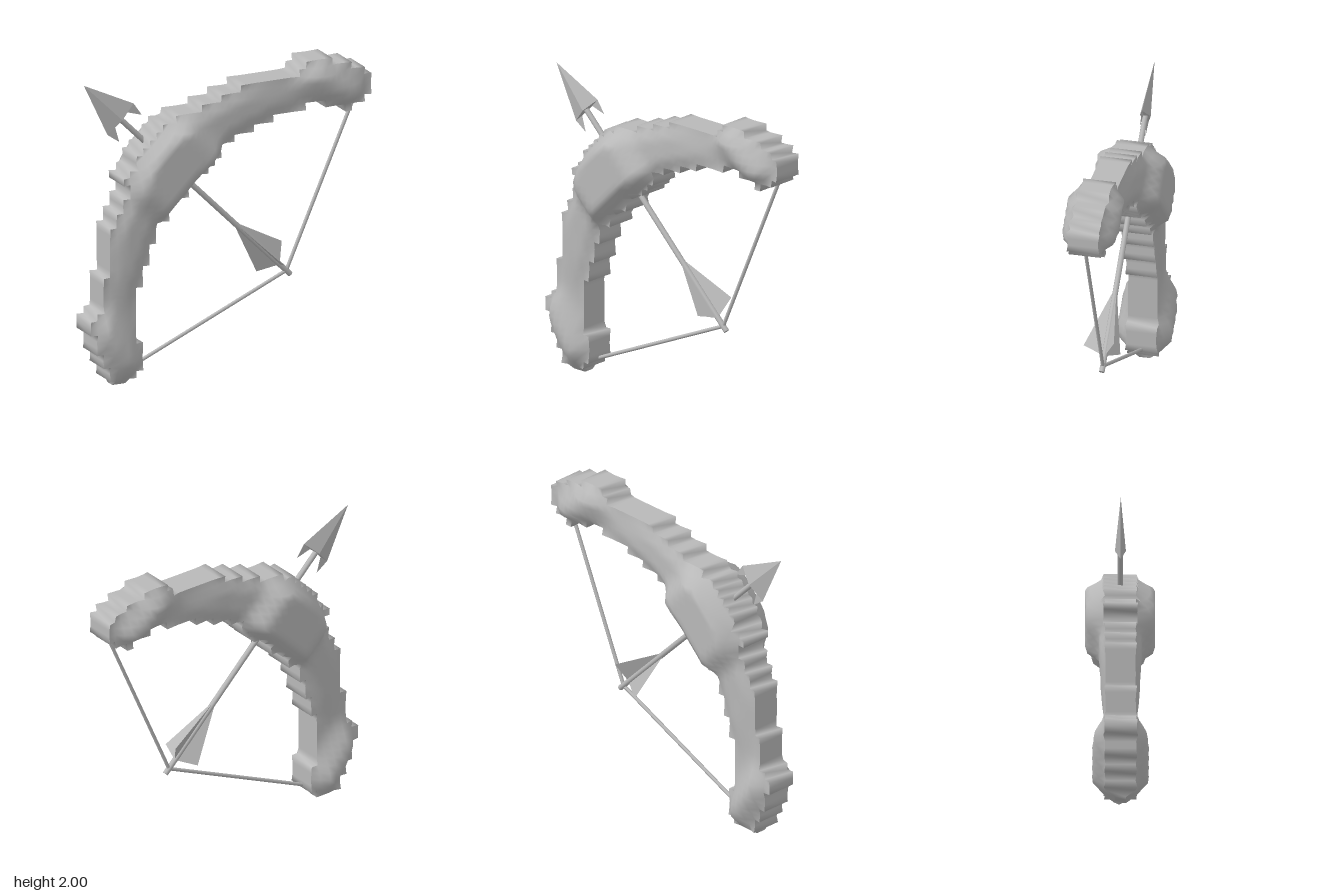
import * as THREE from 'three';
import { mergeVertices } from 'three/addons/utils/BufferGeometryUtils.js';

const CELL = 0.0459, X0 = -0.985, N = 43;
const { smoothstep, lerp } = THREE.MathUtils;
// Stepped outline of the bow from the bottom up: [row count, first column, end column]
const RUNS = [
  [1, 4, 6], [1, 3, 7], [1, 3, 8], [2, 2, 8], [1, 1, 8], [2, 1, 7], [2, 0, 7], [1, 1, 7],
  [3, 2, 7], [2, 2, 8], [1, 3, 8], [3, 3, 9], [3, 3, 10], [2, 4, 12], [1, 5, 13], [1, 5, 15],
  [1, 6, 15], [1, 6, 16], [1, 5, 18], [1, 6, 19], [2, 7, 20], [1, 8, 22], [1, 9, 25],
  [1, 10, 28], [1, 11, 33], [1, 13, 43], [1, 17, 43], [1, 20, 43], [1, 23, 42], [1, 32, 40], [1, 33, 37],
];

function makeMask() {
  const rows = [];
  for (const [count, a, b] of RUNS) {
    for (let k = 0; k < count; k++) rows.push(Array.from({ length: N }, (_, i) => i >= a && i < b));
  }
  for (let i = 36; i < 42; i++) rows[36][i] = true; // underside of the upper tip
  rows[35][39] = true;
  return (i, j) => Boolean(rows[j] && rows[j][i]);
}

// Half depth along the bow: thick grip, slim limbs, swollen tips
const PROFILE = [[0, 0.22], [7, 0.22], [10.5, 0.135], [18, 0.125], [27, 0.104], [33.3, 0.18], [39, 0.105]];
function halfDepth(u) {
  for (let k = 1; k < PROFILE.length; k++) {
    const [u0, d0] = PROFILE[k - 1], [u1, d1] = PROFILE[k];
    if (u <= u1) return lerp(d0, d1, smoothstep(u, u0, u1));
  }
  return 0.105;
}

function geometryFrom(positions, index) {
  const g = new THREE.BufferGeometry();
  g.setAttribute('position', new THREE.Float32BufferAttribute(positions, 3));
  if (index) g.setIndex(index);
  g.computeVertexNormals();
  return g;
}

// Domed front and back skins over the stepped outline, and the wall between them
function bowGeometries() {
  const filled = makeMask();
  // Share of filled cells around a grid corner, weighted towards the middle
  const coverage = (i, j, reach, spread) => {
    let sum = 0, total = 0;
    for (let a = -reach; a < reach; a++) {
      for (let b = -reach; b < reach; b++) {
        const w = Math.exp(-((a + 0.5) ** 2 + (b + 0.5) ** 2) / spread);
        total += w;
        if (filled(i + a, j + b)) sum += w;
      }
    }
    return sum / total;
  };
  const depth = (i, j) => {
    if (j === 0) return 0.035;
    const rim = 0.125 - 0.06 * coverage(i, j, 2, 8);
    const u = Math.abs(i + j - 43);
    return lerp(rim, halfDepth(u), smoothstep(coverage(i, j, 3, 5), 0.46, 0.9));
  };
  const point = (i, j, side) => [X0 + i * CELL, j * CELL, side * depth(i, j)];
  const skin = (side) => {
    const pos = [], index = [], ids = new Map();
    const id = (i, j) => {
      const key = i * 100 + j;
      if (!ids.has(key)) {
        ids.set(key, pos.length / 3);
        pos.push(...point(i, j, side));
      }
      return ids.get(key);
    };
    for (let j = 0; j < N; j++) {
      for (let i = 0; i < N; i++) {
        if (!filled(i, j)) continue;
        const a = id(i, j), b = id(i + 1, j), c = id(i + 1, j + 1), d = id(i, j + 1);
        index.push(...(side > 0 ? [a, b, c, a, c, d] : [a, c, b, a, d, c]));
      }
    }
    return geometryFrom(pos, index);
  };
  const wall = [];
  for (let j = 0; j < N; j++) {
    for (let i = 0; i < N; i++) {
      if (!filled(i, j)) continue;
      const c = [[i, j], [i + 1, j], [i + 1, j + 1], [i, j + 1]];
      [[0, -1], [1, 0], [0, 1], [-1, 0]].forEach(([dx, dy], k) => {
        if (filled(i + dx, j + dy)) return;
        const A = c[k], B = c[(k + 1) % 4];
        const ab = point(...A, -1), bb = point(...B, -1), bf = point(...B, 1), af = point(...A, 1);
        wall.push(...ab, ...bb, ...bf, ...ab, ...bf, ...af);
      });
    }
  }
  // Share the wall's corners so its steps shade softly
  const rim = geometryFrom(wall);
  rim.deleteAttribute('normal');
  const bowRim = mergeVertices(rim);
  bowRim.computeVertexNormals();
  return { bowFront: skin(1), bowBack: skin(-1), bowRim };
}

// Ridged arrowhead with two swept barbs, pointing along -x
function headGeometry() {
  const pos = [];
  for (const sy of [1, -1]) {
    const tip = [0, 0, 0], wing = [0.365, 0.13 * sy, 0], notch = [0.37, 0.06 * sy, 0], barb = [0.465, 0.112 * sy, 0];
    for (const sz of [1, -1]) {
      const ridge = [0.36, 0, 0.035 * sz];
      for (const [a, b, c] of [[tip, ridge, wing], [ridge, notch, wing]]) {
        pos.push(...(sy * sz > 0 ? [...a, ...b, ...c] : [...a, ...c, ...b]));
      }
    }
    pos.push(...wing, ...notch, ...barb);
    pos.push(...notch, ...[0.36, 0, 0.035 * sy], ...[0.36, 0, -0.035 * sy]);
  }
  return geometryFrom(pos);
}

export function createModel() {
  const model = new THREE.Group();
  const grey = new THREE.MeshStandardMaterial({ color: 0xb8b8b8, side: THREE.DoubleSide });
  grey.name = 'grey';
  const add = (parent, name, geometry) => {
    const mesh = new THREE.Mesh(geometry, grey);
    mesh.name = name;
    parent.add(mesh);
    return mesh;
  };
  const rod = (parent, name, from, to, radius) => {
    const a = new THREE.Vector3(...from), b = new THREE.Vector3(...to);
    const mesh = add(parent, name, new THREE.CylinderGeometry(radius, radius, a.distanceTo(b), 8));
    mesh.position.copy(a).lerp(b, 0.5);
    mesh.quaternion.setFromUnitVectors(new THREE.Vector3(0, 1, 0), b.sub(a).normalize());
  };

  // Bow
  const bow = new THREE.Group();
  bow.name = 'bow';
  model.add(bow);
  for (const [name, geometry] of Object.entries(bowGeometries())) add(bow, name, geometry);

  // Drawn string
  rod(model, 'upperString', [0.44, 0.575, 0], [0.93, 1.69, 0], 0.012);
  rod(model, 'lowerString', [0.44, 0.575, 0], [-0.67, 0.085, 0], 0.012);

  // Arrow, laid along its own x axis and tilted
  const arrow = new THREE.Group();
  arrow.name = 'arrow';
  arrow.position.set(-0.985, 2, 0);
  arrow.rotation.z = -Math.PI / 4;
  model.add(arrow);
  rod(arrow, 'shaft', [0.33, 0, 0], [2.055, 0, 0], 0.018);
  add(arrow, 'arrowhead', headGeometry());

  // Three feathers around the shaft
  const feather = new THREE.Shape([[1.48, 0], [1.95, 0], [1.895, 0.145]].map((p) => new THREE.Vector2(...p)));
  for (let k = 0; k < 3; k++) {
    add(arrow, 'feather', new THREE.ShapeGeometry(feather)).rotation.x = Math.PI / 2 + (k * Math.PI * 2) / 3;
  }
  return model;
}
